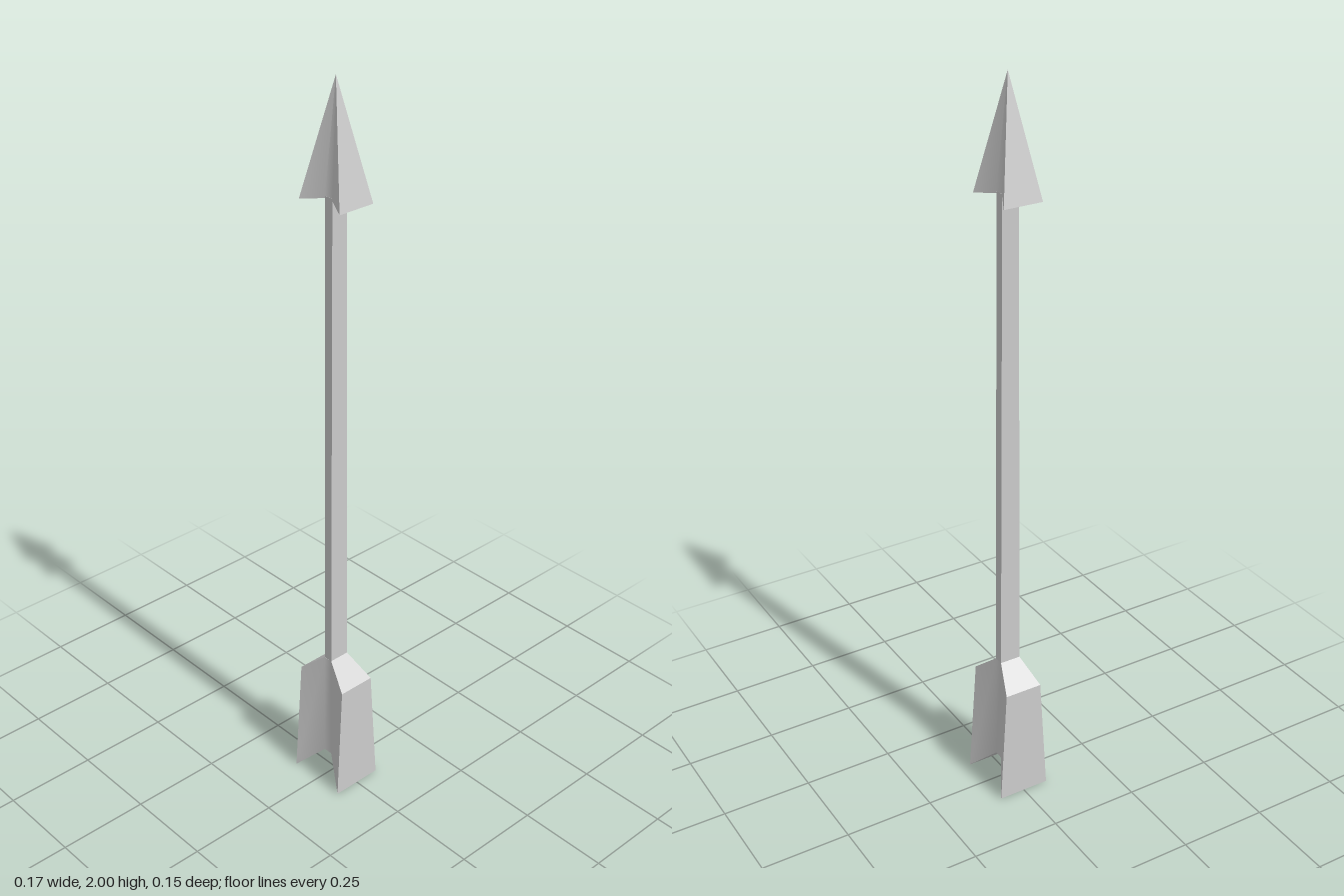
import * as THREE from 'three';
import { toCreasedNormals } from 'three/addons/utils/BufferGeometryUtils.js';

const material = new THREE.MeshStandardMaterial({ color: 0xcccccc });

// Bow-tie ring of eight corners: outer corners and pinched inner corners
function ring(xo, yo, zo, xi, yi, zi) {
  const o = (sx, sz) => new THREE.Vector3(sx * xo, yo, sz * zo);
  const n = (sx, sz) => new THREE.Vector3(sx * xi, yi, sz * zi);
  return [o(1, 1), n(1, 1), n(-1, 1), o(-1, 1), o(-1, -1), n(-1, -1), n(1, -1), o(1, -1)];
}

// Closed solid between two rings; collapsed triangles are dropped
function loft(name, bottom, top) {
  const positions = [];
  const triangle = (a, b, c) => {
    if (new THREE.Triangle(a, b, c).getArea() < 1e-9) return;
    for (const p of [a, b, c]) positions.push(p.x, p.y, p.z);
  };
  const quad = (a, b, c, d) => {
    triangle(a, b, c);
    triangle(a, c, d);
  };
  for (let i = 0; i < 8; i++) {
    const j = (i + 1) % 8;
    quad(bottom[j], bottom[i], top[i], top[j]);
  }
  for (const [a, b, c, d] of [[0, 7, 6, 1], [1, 6, 5, 2], [2, 5, 4, 3]]) {
    quad(top[a], top[b], top[c], top[d]);
    quad(bottom[d], bottom[c], bottom[b], bottom[a]);
  }
  const geometry = new THREE.BufferGeometry();
  geometry.setAttribute('position', new THREE.Float32BufferAttribute(positions, 3));
  const mesh = new THREE.Mesh(toCreasedNormals(geometry, 0.6), material);
  mesh.name = name;
  return mesh;
}

export function createModel() {
  const group = new THREE.Group();
  group.name = 'arrow';

  // Pointed head with a notched base
  group.add(loft('arrowHead',
    ring(0.07, 1.7, 0.053, 0.013, 1.71, 0.023),
    ring(0, 2, 0, 0, 2, 0)));

  // Flat shaft, slightly deeper towards the tail
  const shaftGeometry = new THREE.BoxGeometry(0.026, 1.33, 0.046);
  const pos = shaftGeometry.attributes.position;
  for (let i = 0; i < pos.count; i++) {
    if (pos.getY(i) < 0) pos.setZ(i, Math.sign(pos.getZ(i)) * 0.029);
  }
  shaftGeometry.computeVertexNormals();
  const shaft = new THREE.Mesh(shaftGeometry, material);
  shaft.name = 'shaft';
  shaft.position.y = 1.05;
  group.add(shaft);

  // Flared tail feathers with a V-cut underneath
  group.add(loft('fletching',
    ring(0.086, 0, 0.073, 0.013, 0.075, 0.03),
    ring(0.082, 0.335, 0.053, 0.013, 0.395, 0.029)));

  return group;
}
